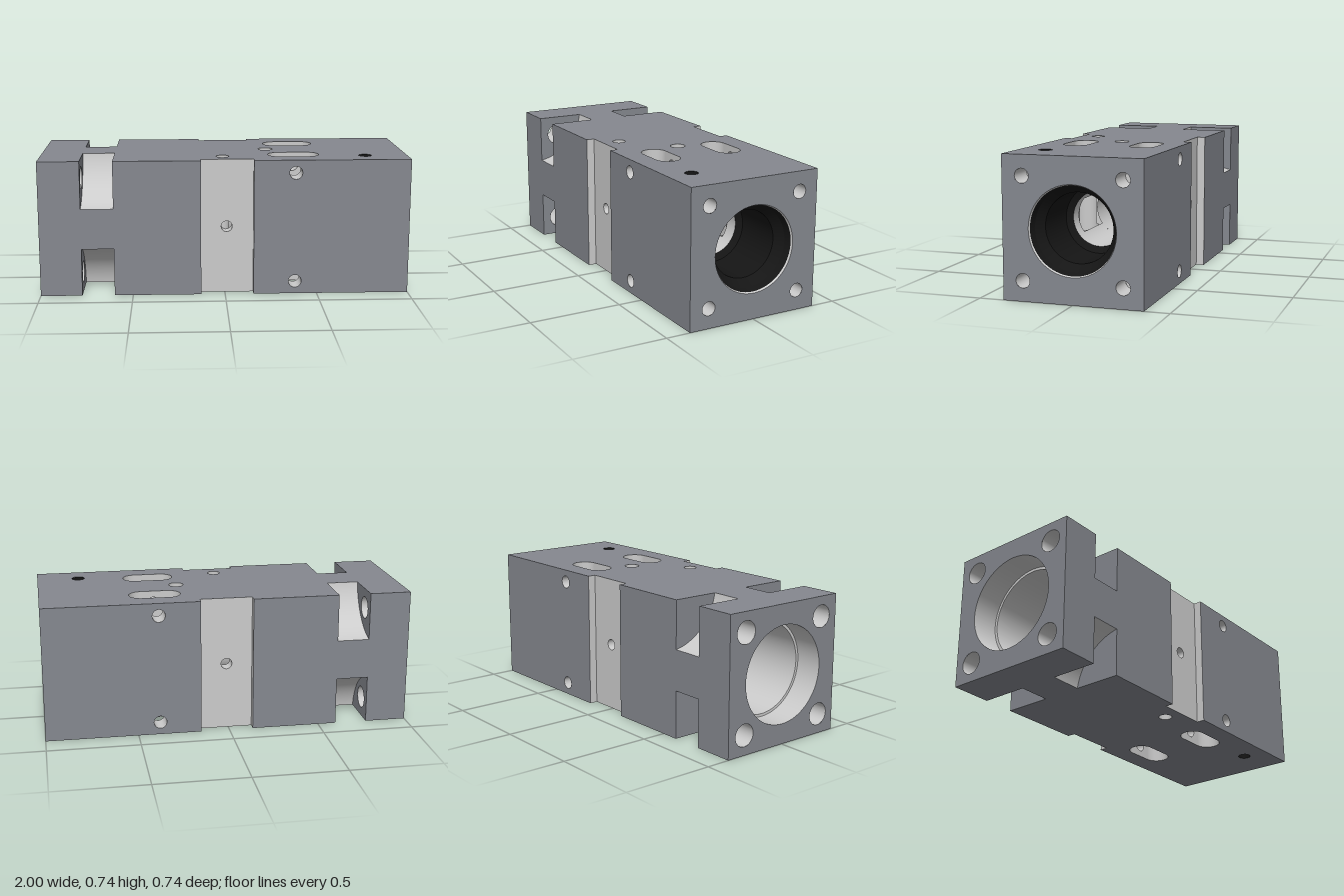
import * as THREE from 'three';
import { mergeGeometries } from 'three/addons/utils/BufferGeometryUtils.js';

const L = 1, D = 0.369;                      // half length, half height/depth
const PK0 = -0.775, PK1 = -0.6, PK = 0.11;   // corner pockets
const G0 = -0.13, G1 = 0.155, GD = 0.325;    // side grooves
const SX0 = 0.24, SX1 = 0.52, SZ = 0.185, SR = 0.068; // long slots
const BORE = 0.147, HOLE = 0.263, CROSS = [0.38, 0.3];

const mat = (color) => new THREE.MeshStandardMaterial({ color, side: THREE.DoubleSide });

export function createModel() {
  const body = mat(0x85888f), steel = mat(0xcccccc), black = mat(0x151515);
  const model = new THREE.Group();
  const block = new THREE.Group();
  block.name = 'block';
  block.position.y = D;
  model.add(block);

  const add = (parent, name, geo, material) => {
    const m = new THREE.Mesh(geo, material);
    m.name = name;
    parent.add(m);
    return m;
  };
  const poly = (pts) => new THREE.Shape(pts.map(([a, b]) => new THREE.Vector2(a, b)));
  const rect = (a0, b0, a1, b1) => poly([[a0, b0], [a1, b0], [a1, b1], [a0, b1]]);
  const cut = (shape, ...holes) => { shape.holes.push(...holes); return shape; };
  const circle = (a, b, r) => new THREE.Path().absarc(a, b, r, 0, Math.PI * 2, true);
  const corners = (r) => [[1, 1], [1, -1], [-1, 1], [-1, -1]].map(([a, b]) => circle(a * HOLE, b * HOLE, r));

  // Flat face across an axis: x takes (z, y), y takes (x, z), z takes (x, y)
  const panel = (shape, axis, at, sign) => {
    const g = new THREE.ShapeGeometry(shape, 32);
    if (axis === 'x') g.rotateY(-Math.PI / 2);
    if (axis === 'y') g.rotateX(Math.PI / 2);
    if ((axis === 'z') !== (sign > 0)) {
      g.index.array.reverse();
      const n = g.attributes.normal.array;
      for (let i = 0; i < n.length; i++) n[i] = -n[i];
    }
    g.translate(axis === 'x' ? at : 0, axis === 'y' ? at : 0, axis === 'z' ? at : 0);
    return g;
  };
  // Open cylinder wall along an axis; p and q are the other two coordinates
  const tube = (axis, r, from, to, p, q, start = 0, len = Math.PI * 2) => {
    const g = new THREE.CylinderGeometry(r, r, to - from, 40, 1, true, start, len);
    const mid = (from + to) / 2;
    if (axis === 'x') return g.rotateZ(Math.PI / 2).translate(mid, p, q);
    if (axis === 'z') return g.rotateX(Math.PI / 2).translate(p, q, mid);
    return g.translate(p, mid, q);
  };
  // Stepped round surface with sharp edges, turned about the y axis
  const turned = (pts, start, len) => mergeGeometries(pts.slice(1).map((p, i) =>
    new THREE.LatheGeometry([new THREE.Vector2(...pts[i]), new THREE.Vector2(...p)], 64, start, len)));
  const turnedX = (...args) => turned(...args).rotateZ(-Math.PI / 2);

  // End faces
  add(block, 'leftBoreEnd', panel(cut(rect(-D, -D, D, D), circle(0, 0, 0.26), ...corners(0.06)), 'x', -L, -1), body);
  add(block, 'sleeveEnd', panel(cut(rect(-D, -D, D, D), circle(0, 0, 0.23), ...corners(0.037)), 'x', L, 1), body);

  // Top and bottom faces
  for (const s of [1, -1]) {
    const half = [[-L, D], [PK0, D], [PK0, PK], [PK1, PK], [PK1, D], [G0, D], [G0, GD], [G1, GD], [G1, D], [L, D]];
    const shape = poly([...half, ...half.map(([x, z]) => [x, -z]).reverse()]);
    for (const z of [SZ, -SZ]) {
      const slot = new THREE.Path();
      slot.absarc(SX1 - SR, z, SR, -Math.PI / 2, Math.PI / 2, false);
      slot.absarc(SX0 + SR, z, SR, Math.PI / 2, Math.PI * 1.5, false);
      slot.closePath();
      cut(shape, slot);
    }
    cut(shape, circle(-0.01, 0.23, 0.035), circle(0.77, 0.23, 0.035));
    if (s > 0) cut(shape, circle(0.24, 0, 0.04));
    add(block, s > 0 ? 'topFace' : 'bottomFace', panel(shape, 'y', s * D, s), body);
  }
  add(block, 'dowelHole', tube('y', 0.035, -D, D, -0.01, 0.23), steel);
  add(block, 'sleevePinHole', tube('y', 0.035, -D, D, 0.77, 0.23), black);
  add(block, 'steppedTopHole',
    turned([[0.04, 0], [0.04, -0.06], [0.02, -0.06], [0.02, -0.18], [0, -0.18]]).translate(0.24, D, 0), steel);

  // Front and back: outer faces, groove, cross holes and slot walls
  for (const s of [1, -1]) {
    const side = new THREE.Group();
    side.name = s > 0 ? 'frontSide' : 'backSide';
    side.scale.z = s;
    block.add(side);
    add(side, 'plainFace', panel(poly([[-L, -D], [PK0, -D], [PK0, -PK], [PK1, -PK], [PK1, -D], [G0, -D],
      [G0, D], [PK1, D], [PK1, PK], [PK0, PK], [PK0, D], [-L, D]]), 'z', D, 1), body);
    const crossHoles = () => [1, -1].map((k) => circle(CROSS[0], k * CROSS[1], 0.035));
    add(side, 'drilledFace', panel(cut(rect(G1, -D, L, D), ...crossHoles()), 'z', D, 1), body);

    add(side, 'grooveFloor', panel(cut(rect(G0, -D, G1, D), circle(0.01, 0, 0.03)), 'z', GD, 1), steel);
    add(side, 'grooveWall', panel(rect(GD, -D, D, D), 'x', G0, 1), steel);
    add(side, 'grooveWall', panel(rect(GD, -D, D, D), 'x', G1, -1), steel);
    add(side, 'grooveHole', tube('z', 0.03, 0.255, GD, 0.01, 0), steel);
    for (const k of [1, -1]) {
      add(side, 'crossHole', tube('z', 0.035, SZ + SR, D, CROSS[0], k * CROSS[1]), steel);
      add(side, 'crossHole', tube('z', 0.035, 0, SZ - SR, CROSS[0], k * CROSS[1]), steel);
    }

    // Slot walls, left open where they break into the bore
    const x0 = SX0 + SR, x1 = SX1 - SR, open = 0.089, t = 2.165;
    add(side, 'slotOuterWall', panel(cut(rect(x0, -D, x1, D), ...crossHoles()), 'z', SZ + SR, -1), steel);
    for (const k of [1, -1]) {
      const wall = cut(rect(x0, k * open, x1, k * D), circle(CROSS[0], k * CROSS[1], 0.035));
      add(side, 'slotInnerWall', panel(wall, 'z', SZ - SR, 1), steel);
    }
    for (const [x, d] of [[x1, 1], [x0, -1]]) {
      add(side, 'slotEnd', tube('y', SR, -D, D, x, SZ, d > 0 ? 0 : -t, t), steel);
      for (const [a, b] of [[-D, -open], [open, D]])
        add(side, 'slotEnd', tube('y', SR, a, b, x, SZ, d > 0 ? t : -Math.PI, Math.PI - t), steel);
    }
  }

  // Four corners: rounded screw pocket, clearance hole, blind hole at the other end
  const R = Math.hypot(0.309, 0.05), A = Math.atan2(0.05, 0.309), C = D + 0.05;
  const pocketWall = () => {
    const p = poly([[D, D], [PK, D]]);
    p.absarc(C, C, R, Math.PI + A, Math.PI * 1.5 - A, false);
    p.closePath();
    return p;
  };
  for (const sy of [1, -1]) for (const sz of [1, -1]) {
    const corner = new THREE.Group();
    corner.name = 'screwCorner';
    corner.scale.set(1, sy, sz);
    block.add(corner);
    add(corner, 'pocketFloor', tube('x', R, PK0, PK1, C, C, Math.PI + A, Math.PI / 2 - 2 * A), steel);
    add(corner, 'pocketWall', panel(cut(pocketWall(), circle(HOLE, HOLE, 0.06)), 'x', PK0, 1), body);
    add(corner, 'pocketWall', panel(pocketWall(), 'x', PK1, -1), body);
    add(corner, 'clearanceHole', tube('x', 0.06, -L, PK0, HOLE, HOLE), steel);
    add(corner, 'blindHole', tube('x', 0.037, 0.85, L, HOLE, HOLE), steel);
    add(corner, 'blindHoleFloor',
      new THREE.CircleGeometry(0.037, 32).rotateY(Math.PI / 2).translate(0.85, HOLE, HOLE), steel);
  }

  // Bore, with only its top and bottom arcs left between the slots
  add(block, 'bore', turnedX([[0.26, -L], [0.26, -0.85], [0.245, -0.85], [0.245, -0.25], [BORE, -0.25], [BORE, SX0]]), steel);
  for (const a of [-1, 1])
    add(block, 'boreArc', turnedX([[BORE, SX0], [BORE, SX1]], a * Math.PI / 2 - 0.92, 1.84), steel);
  add(block, 'boreNeck', turnedX([[BORE, SX1], [BORE, 0.6]]), steel);
  add(block, 'boreChamfer', turnedX([[0.23, L], [0.225, 0.99]]), steel);

  // Dark sleeve inside the bore
  add(block, 'sleeve', turnedX([[0.225, 0.99], [0.215, 0.95], [0.18, 0.9], [0.18, 0.62], [BORE, 0.6],
    [0.27, 0.6], [0.27, 0.98], [0.225, 0.99]]), black);

  return model;
}
